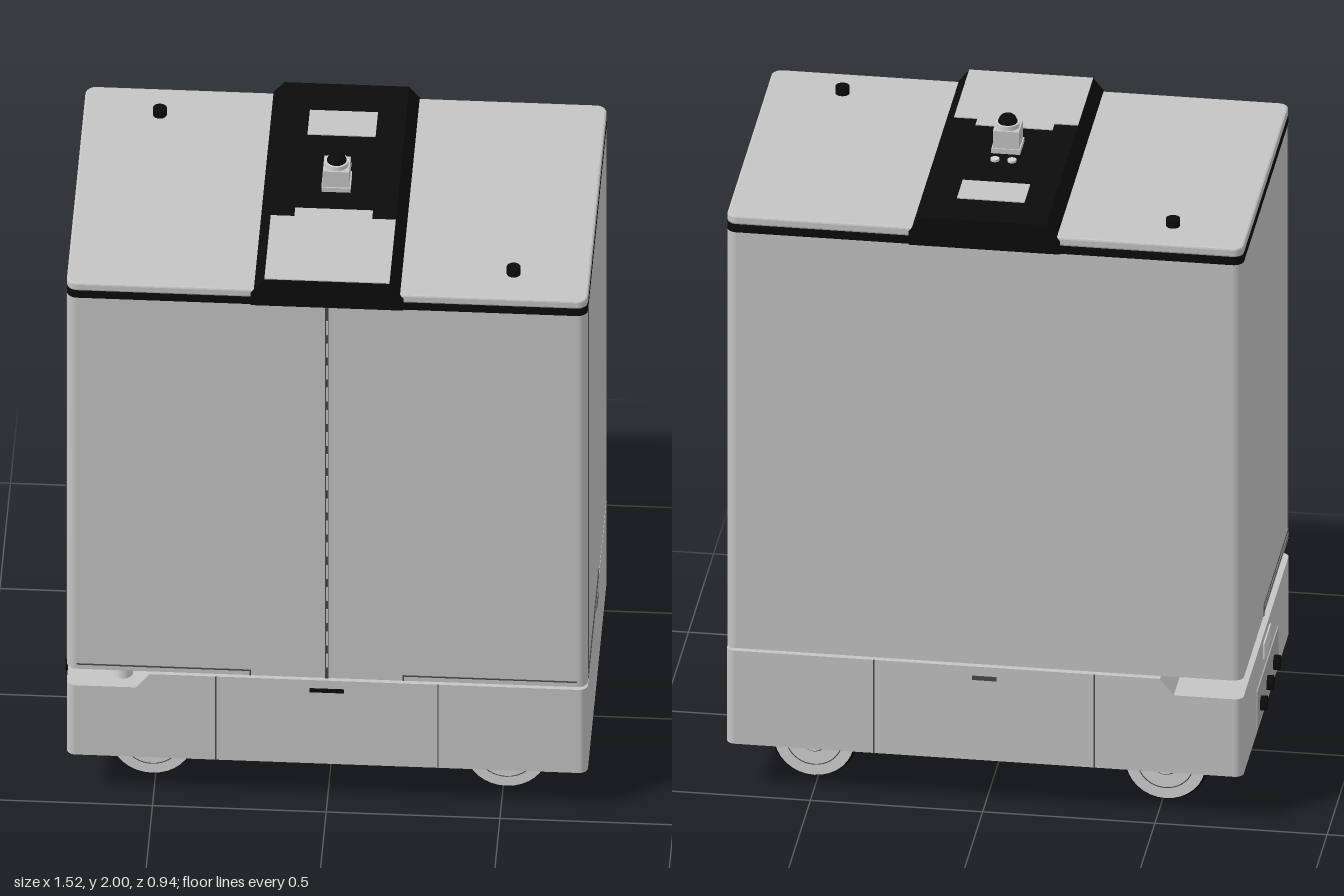
import * as THREE from 'three';

const mat = (name, color) => {
  const m = new THREE.MeshStandardMaterial({ color });
  m.name = name;
  return m;
};

export function createModel() {
  const root = new THREE.Group();
  root.name = 'deliveryCart';
  const shell = mat('light grey shell', 0xc4c4c4);
  const pale = mat('pale grey hub', 0xd2d2d2);
  const black = mat('black trim', 0x0b0b0b);
  const dark = mat('dark seam', 0x484848);
  const under = mat('underside grey', 0xa8a8a8);

  const add = (name, geo, material, x = 0, y = 0, z = 0, parent = root) => {
    const mesh = new THREE.Mesh(geo, material);
    mesh.name = name;
    mesh.position.set(x, y, z);
    parent.add(mesh);
    return mesh;
  };
  // Box given by its limits on each axis
  const box = (name, material, [x0, x1], [y0, y1], [z0, z1], parent = root) =>
    add(name, new THREE.BoxGeometry(x1 - x0, y1 - y0, z1 - z0), material,
      (x0 + x1) / 2, (y0 + y1) / 2, (z0 + z1) / 2, parent);
  const cyl = (name, material, r, h, x, y, z, parent = root, rTop = r) =>
    add(name, new THREE.CylinderGeometry(rTop, r, h, 32), material, x, y, z, parent);

  // Rounded rectangle in plan
  const roundRect = (Shape, x0, x1, y0, y1, r) => {
    const s = new Shape();
    s.moveTo(x0 + r, y0);
    s.lineTo(x1 - r, y0);
    s.absarc(x1 - r, y0 + r, r, -Math.PI / 2, 0, false);
    s.lineTo(x1, y1 - r);
    s.absarc(x1 - r, y1 - r, r, 0, Math.PI / 2, false);
    s.lineTo(x0 + r, y1);
    s.absarc(x0 + r, y1 - r, r, Math.PI / 2, Math.PI, false);
    s.lineTo(x0, y0 + r);
    s.absarc(x0 + r, y0 + r, r, Math.PI, Math.PI * 1.5, false);
    return s;
  };
  // Plan outline raised from y0 to y1, with optional hollow and bevelled rim
  const slab = (name, material, x0, x1, hz, y0, y1, { r = 0.025, wall = 0, bevel = 0 } = {}) => {
    const s = roundRect(THREE.Shape, x0 + bevel, x1 - bevel, -hz + bevel, hz - bevel, r);
    if (wall) s.holes.push(roundRect(THREE.Path, x0 + wall, x1 - wall, -hz + wall, hz - wall, 0.01));
    const geo = new THREE.ExtrudeGeometry(s, {
      depth: y1 - y0 - 2 * bevel, curveSegments: 6, bevelEnabled: bevel > 0,
      bevelSize: bevel, bevelThickness: bevel, bevelSegments: 2,
    });
    geo.rotateX(-Math.PI / 2);
    return add(name, geo, material, 0, y0 + bevel, 0);
  };
  // Side profile swept along z
  const prism = (name, material, pts, hz) => {
    const s = new THREE.Shape(pts.map(([x, y]) => new THREE.Vector2(x, y)));
    const geo = new THREE.ExtrudeGeometry(s, { depth: 2 * hz, bevelEnabled: false });
    return add(name, geo, material, 0, 0, -hz);
  };

  // Base: hollow skirt, deck and stepped upper deck
  slab('baseSkirt', shell, -0.75, 0.75, 0.468, 0.15, 0.32, { wall: 0.02 });
  slab('baseDeck', shell, -0.75, 0.75, 0.468, 0.32, 0.4);
  slab('baseUpperDeck', shell, -0.51, 0.75, 0.468, 0.4, 0.45);
  prism('baseStepSlope', shell, [[-0.55, 0.4], [-0.46, 0.4], [-0.46, 0.45], [-0.51, 0.45]], 0.468);
  box('bodySupport', shell, [-0.5, 0.74], [0.45, 0.46], [-0.45, 0.45]);
  cyl('stepSensor', pale, 0.028, 0.03, -0.59, 0.415, 0.4);

  // Underside: middle housing, lowered plate and rails
  box('underHousing', shell, [-0.37, 0.37], [0.16, 0.32], [-0.44, 0.44]);
  box('underPlate', under, [-0.28, 0.28], [0.13, 0.16], [-0.38, 0.38]);
  for (const s of [-1, 1]) {
    box('underRail', pale, [-0.24, 0.24], [0.126, 0.131], [s * 0.3 - 0.015, s * 0.3 + 0.015]);
    box('bayBeam', shell, [s * 0.55 - 0.17, s * 0.55 + 0.17], [0.17, 0.32], [-0.13, 0.13]);
  }

  // Base seams and grip slots on front and back
  for (const s of [-1, 1]) {
    for (const x of [-0.32, 0.32]) box('baseSeam', dark, [x - 0.002, x + 0.002], [0.15, 0.45], [s * 0.468 - 0.002, s * 0.468 + 0.002]);
    const half = s > 0 ? 0.05 : 0.035;
    box('gripSlot', s > 0 ? black : dark, [-half, half], [0.408, 0.421], [s * 0.468 - 0.003, s * 0.468 + 0.003]);
  }
  for (let i = -2; i <= 2; i++) box('sideVent', dark, [0.748, 0.752], [0.416, 0.426], [i * 0.017 + 0.005, i * 0.017 + 0.013]);

  // Connector panel on the stepped end
  box('connectorPanel', under, [-0.754, -0.748], [0.17, 0.29], [-0.2, 0.22]);
  box('connectorWindow', pale, [-0.754, -0.748], [0.325, 0.375], [-0.06, 0.07]);
  for (const z of [-0.13, 0, 0.13]) cyl('connectorKnob', black, 0.022, 0.02, -0.762, 0.22, z).rotation.z = Math.PI / 2;

  // Wheels with hubs, rings, axles and brackets
  for (const sx of [-1, 1]) for (const sz of [-1, 1]) {
    const wheel = new THREE.Group();
    wheel.name = 'wheel';
    wheel.position.set(sx * 0.51, 0.125, sz * 0.3);
    wheel.rotation.x = Math.PI / 2 * sz;
    root.add(wheel);
    const tread = [[0.1, -0.055], [0.119, -0.053], [0.125, -0.04], [0.125, 0.04], [0.119, 0.053], [0.1, 0.055]];
    add('tyre', new THREE.LatheGeometry(tread.map(p => new THREE.Vector2(...p)), 40), black, 0, 0, 0, wheel);
    cyl('rim', pale, 0.116, 0.112, 0, 0, 0, wheel);
    for (const s of [-1, 1]) {
      for (const r of [0.04, 0.083]) {
        const ring = add('hubRing', new THREE.RingGeometry(r - 0.003, r, 40), dark, 0, s * 0.057, 0, wheel);
        ring.rotation.x = -s * Math.PI / 2;
      }
      cyl('hubCap', pale, 0.033, 0.016, 0, s * 0.06, 0, wheel);
    }
    cyl('axle', pale, 0.014, 0.08, 0, -0.1, 0, wheel);
    box('wheelBracket', shell, [sx * 0.51 - 0.035, sx * 0.51 + 0.035], [0.1, 0.32], [sz * 0.225 - 0.005, sz * 0.225 + 0.005]);
  }

  // Cabinet with door seams
  slab('cabinet', shell, -0.75, 0.75, 0.468, 0.46, 1.8, { r: 0.03 });
  box('doorSeam', dark, [-0.005, 0.005], [0.46, 1.8], [0.465, 0.47]);
  for (let i = 0; i < 16; i++) box('doorSeamClip', shell, [-0.003, 0.003], [0.5 + i * 0.08, 0.55 + i * 0.08], [0.467, 0.471]);
  for (const s of [-1, 1]) {
    const side = [s * 0.75 - 0.002, s * 0.75 + 0.002];
    box('doorEdgeSeam', dark, side, [0.5, 1.8], [0.428, 0.435]);
    box('sideFootSeam', dark, side, [0.492, 0.496], [-0.05, 0.44]);
    box('sideFootSeamLower', dark, side, [0.473, 0.476], [-0.05, 0.44]);
    box('sideFootEnd', dark, side, [0.46, 0.495], [-0.054, -0.05]);
    const cx = s * 0.47;
    box('frontFootSeam', dark, [cx - 0.25, cx + 0.25], [0.476, 0.48], [0.466, 0.47]);
    box('frontFootEnd', dark, [s * 0.22 - 0.002, s * 0.22 + 0.002], [0.46, 0.48], [0.466, 0.47]);
  }

  // Black band and lid
  slab('blackBand', black, -0.75, 0.75, 0.468, 1.8, 1.824, { r: 0.03 });
  slab('lid', shell, -0.75, 0.75, 0.468, 1.824, 1.852, { r: 0.025, bevel: 0.006 });
  for (const s of [-1, 1]) cyl('lidKnob', black, 0.02, 0.026, s * 0.53, 1.863, s * 0.345);

  // Raised control bridge
  prism('controlBridge', black, [[-0.22, 1.798], [0.22, 1.798], [0.22, 1.84], [0.18, 1.89], [-0.18, 1.89], [-0.22, 1.84]], 0.47);
  box('bridgePanel', shell, [-0.18, 0.18], [1.886, 1.893], [0.165, 0.466]);
  box('bridgePanelTab', shell, [-0.112, 0.112], [1.886, 1.893], [0.125, 0.165]);
  box('screen', shell, [-0.098, 0.098], [1.886, 1.893], [-0.34, -0.225]);
  for (const x of [-0.025, 0.025]) cyl('button', pale, 0.013, 0.01, x, 1.892, -0.085);

  // Sensor turret with black dome
  box('turretBase', shell, [-0.042, 0.042], [1.89, 1.905], [-0.042, 0.042]);
  box('turret', shell, [-0.038, 0.038], [1.905, 1.96], [-0.038, 0.038]);
  cyl('turretNeck', pale, 0.034, 0.014, 0, 1.967, 0);
  cyl('domeRim', black, 0.028, 0.006, 0, 1.975, 0);
  const dome = add('dome', new THREE.SphereGeometry(0.027, 24, 10, 0, Math.PI * 2, 0, Math.PI / 2), black, 0, 1.976, 0);
  dome.scale.y = 0.024 / 0.027;

  return root;
}
